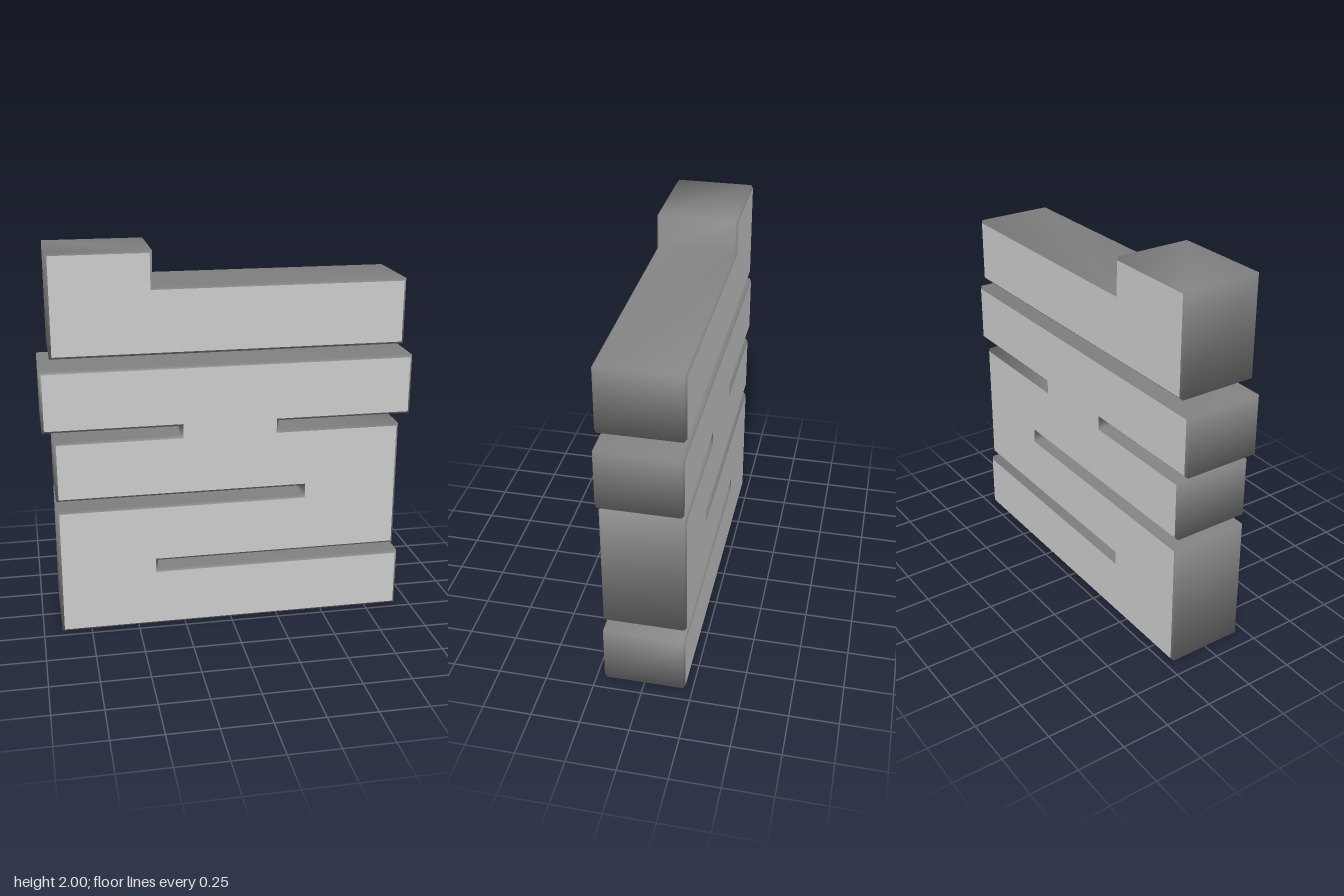
import * as THREE from 'three';
import { mergeVertices } from 'three/addons/utils/BufferGeometryUtils.js';

const DEPTH = 0.424;
const BEVEL = 0.012;

const faceGrey = new THREE.MeshStandardMaterial({ color: 0xcccccc });
faceGrey.name = 'light grey face';
const sideGrey = new THREE.MeshStandardMaterial({ color: 0x808080 });
sideGrey.name = 'dark grey side';

// Copies one material group of a non-indexed geometry into its own geometry
function takeGroup(geometry, index) {
  const { start, count } = geometry.groups[index];
  const part = new THREE.BufferGeometry();
  const positions = geometry.attributes.position.array.slice(start * 3, (start + count) * 3);
  part.setAttribute('position', new THREE.BufferAttribute(positions, 3));
  return part;
}

// Extrudes an outline into a slab with a small chamfer, flat faces and smooth sides
function slab(name, outline) {
  const shape = new THREE.Shape(outline.map(([x, y]) => new THREE.Vector2(x, y)));
  const solid = new THREE.ExtrudeGeometry(shape, {
    depth: DEPTH - 2 * BEVEL,
    bevelEnabled: true,
    bevelSegments: 1,
    bevelSize: BEVEL,
    bevelOffset: -BEVEL,
    bevelThickness: BEVEL,
  });
  solid.translate(0, 0, BEVEL - DEPTH / 2);

  const faces = takeGroup(solid, 0);
  faces.computeVertexNormals();
  const sides = mergeVertices(takeGroup(solid, 1), 1e-4);
  sides.computeVertexNormals();

  const group = new THREE.Group();
  group.name = name;
  const faceMesh = new THREE.Mesh(faces, faceGrey);
  faceMesh.name = name + 'Faces';
  const sideMesh = new THREE.Mesh(sides, sideGrey);
  sideMesh.name = name + 'Sides';
  group.add(faceMesh, sideMesh);
  return group;
}

export function createModel() {
  const model = new THREE.Group();
  model.name = 'slottedBlocks';

  // Top slab with a raised step at one end
  model.add(slab('steppedTopSlab', [
    [-0.905, 1.48], [0.902, 1.48], [0.902, 1.82],
    [-0.39, 1.82], [-0.39, 2], [-0.905, 2],
  ]));

  // Main body, anticlockwise, with four slots cut in from its sides
  model.add(slab('slottedBody', [
    [-0.905, 0.005], [0.925, 0.005], [0.925, 0.32],
    [-0.39, 0.32], [-0.39, 0.372], [0.897, 0.372],       // low right slot
    [0.897, 1.055], [0.25, 1.055], [0.25, 1.107],        // high right slot
    [0.955, 1.107], [0.955, 1.423], [-0.96, 1.423],
    [-0.96, 1.107], [-0.26, 1.107], [-0.26, 1.055],      // high left slot
    [-0.905, 1.055], [-0.905, 0.738],
    [0.385, 0.738], [0.385, 0.683], [-0.905, 0.683],     // middle left slot
  ]));

  // Rest the body exactly on the ground
  model.children[1].position.y = -0.005;
  return model;
}
